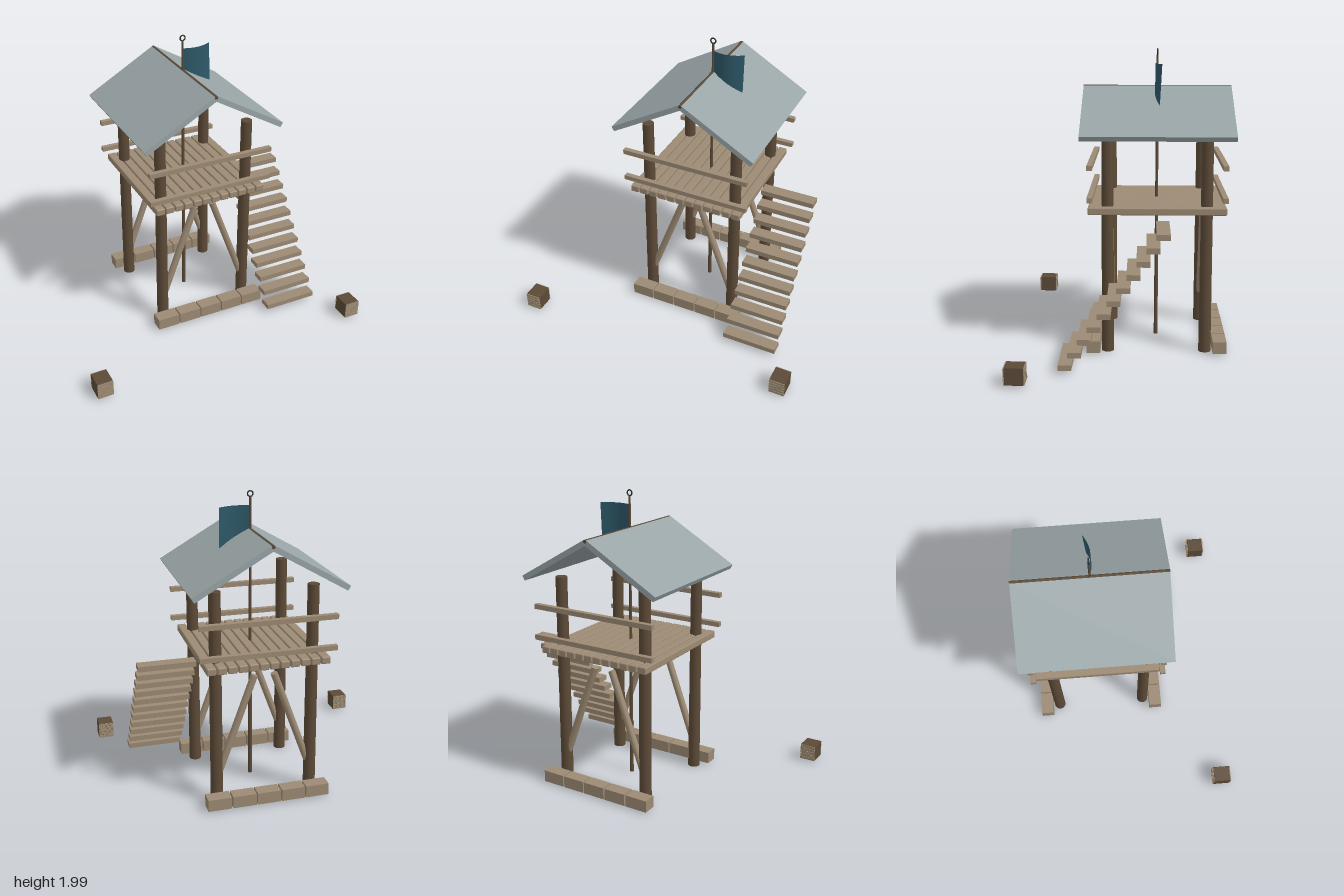
import * as THREE from 'three';
import { RoundedBoxGeometry } from 'three/addons/geometries/RoundedBoxGeometry.js';

const mat = (name, color) => {
  const m = new THREE.MeshStandardMaterial({ color });
  m.name = name;
  return m;
};

export function createModel() {
  const plankWood = mat('pale plank wood', 0x9c8a73);
  const darkWood = mat('dark post wood', 0x5c4a37);
  const roofGrey = mat('roof grey', 0x98a4a6);
  const flagTeal = mat('flag teal', 0x2d5868);
  const iron = mat('dark iron', 0x2c2b2a);
  flagTeal.side = THREE.DoubleSide;

  // Centre of the tower
  const CX = 0.045, CZ = -0.2165;
  const model = new THREE.Group();
  model.name = 'watchtower';

  const group = (name, parent = model) => {
    const g = new THREE.Group();
    g.name = name;
    parent.add(g);
    return g;
  };
  const add = (parent, name, geometry, material, x = 0, y = 0, z = 0) => {
    const m = new THREE.Mesh(geometry, material);
    m.name = name;
    m.position.set(x, y, z);
    parent.add(m);
    return m;
  };
  const box = (w, h, d) => new THREE.BoxGeometry(w, h, d);

  // Posts with a slanted brace beside each one
  const frame = group('frame');
  const postGeo = new THREE.CylinderGeometry(0.038, 0.041, 1.44, 14);
  const braceGeo = new THREE.CylinderGeometry(0.0235, 0.0235, 0.72, 12).translate(0, -0.36, 0);
  for (const sx of [-1, 1]) {
    for (const sz of [-1, 1]) {
      const z = CZ + sz * 0.322;
      add(frame, 'post', postGeo, darkWood, CX + sx * 0.32, 0.72, z);
      const brace = add(frame, 'brace', braceGeo, plankWood, CX + sx * 0.065, 0.866, z);
      brace.rotation.z = sx * 0.35;
    }
  }

  // Deck of planks running front to back
  const deck = group('deck');
  const deckGeo = new RoundedBoxGeometry(0.061, 0.048, 0.895, 1, 0.008);
  for (let i = 0; i < 12; i++) {
    add(deck, 'deckPlank', deckGeo, plankWood, CX + (i - 5.5) * 0.0677, 0.963, CZ);
  }

  // Rails and foundation blocks on the front and back
  const rails = group('rails');
  const foundation = group('foundation');
  const railGeo = box(0.893, 0.032, 0.035);
  const blockGeo = box(0.157, 0.08, 0.09);
  for (const sz of [-1, 1]) {
    for (const y of [1.043, 1.25]) add(rails, 'rail', railGeo, plankWood, CX, y, CZ + sz * 0.433);
    for (let i = -2; i <= 2; i++) {
      add(foundation, 'foundationBlock', blockGeo, plankWood, CX + i * 0.166, 0.05, CZ + sz * 0.416);
    }
  }

  // Open stairs on the left side, rising toward the back
  const stairs = group('stairs');
  const stepGeo = box(0.382, 0.036, 0.085);
  for (let i = 0; i < 11; i++) {
    add(stairs, 'step', stepGeo, plankWood, 0.621, 0.048 + i * 0.0835, 0.358 - i * 0.061);
  }

  // Gabled roof: panels hinge from their upper ridge edge
  const roof = group('roof');
  const L = 0.566, T = 0.035;
  for (const s of [-1, 1]) {
    const panel = add(roof, 'roofPanel', box(L, T, 0.985).translate(s * L / 2, -T / 2, 0),
      roofGrey, CX + s * 0.01, 1.74, CZ);
    panel.rotation.z = -s * Math.PI / 6;
  }
  add(roof, 'ridgeBeam', new THREE.CylinderGeometry(0.012, 0.012, 0.987, 8).rotateX(Math.PI / 2),
    darkWood, CX, 1.732, CZ);

  // Flagpole, ring and waving flag
  const flagpole = group('flagpole');
  add(flagpole, 'pole', new THREE.CylinderGeometry(0.007, 0.014, 1.945, 10), darkWood, CX, 0.9725, CZ);
  add(flagpole, 'poleRing', new THREE.TorusGeometry(0.018, 0.0045, 8, 20), iron, CX, 1.963, CZ);
  const flagGeo = new THREE.PlaneGeometry(0.204, 0.32, 12, 8);
  const p = flagGeo.attributes.position;
  for (let i = 0; i < p.count; i++) {
    const u = p.getX(i) / 0.204 + 0.5;
    const v = p.getY(i) / 0.32 + 0.5;
    p.setZ(i, 0.02 * Math.sin(Math.PI * u) - 0.028 * u * u * (0.4 + 0.6 * v));
  }
  flagGeo.computeVertexNormals();
  add(flagpole, 'flag', flagGeo, flagTeal, 0.153, 1.73, CZ);

  // Crates with slatted front and back
  const slatGeo = box(0.107, 0.018, 0.006);
  const diagonalGeo = box(0.125, 0.011, 0.004);
  for (const sx of [-1, 1]) {
    const crate = group('crate');
    crate.position.set(sx * 0.946, 0.068, 0.645);
    add(crate, 'crateBody', new RoundedBoxGeometry(0.108, 0.115, 0.118, 1, 0.004), darkWood);
    for (const sz of [-1, 1]) {
      for (let i = -2; i <= 2; i++) {
        add(crate, 'crateSlat', slatGeo, plankWood, 0, i * 0.0225, sz * 0.062);
      }
      const diagonal = add(crate, 'crateDiagonal', diagonalGeo, plankWood, 0, 0, sz * 0.067);
      diagonal.rotation.z = 0.72;
    }
  }
  return model;
}
